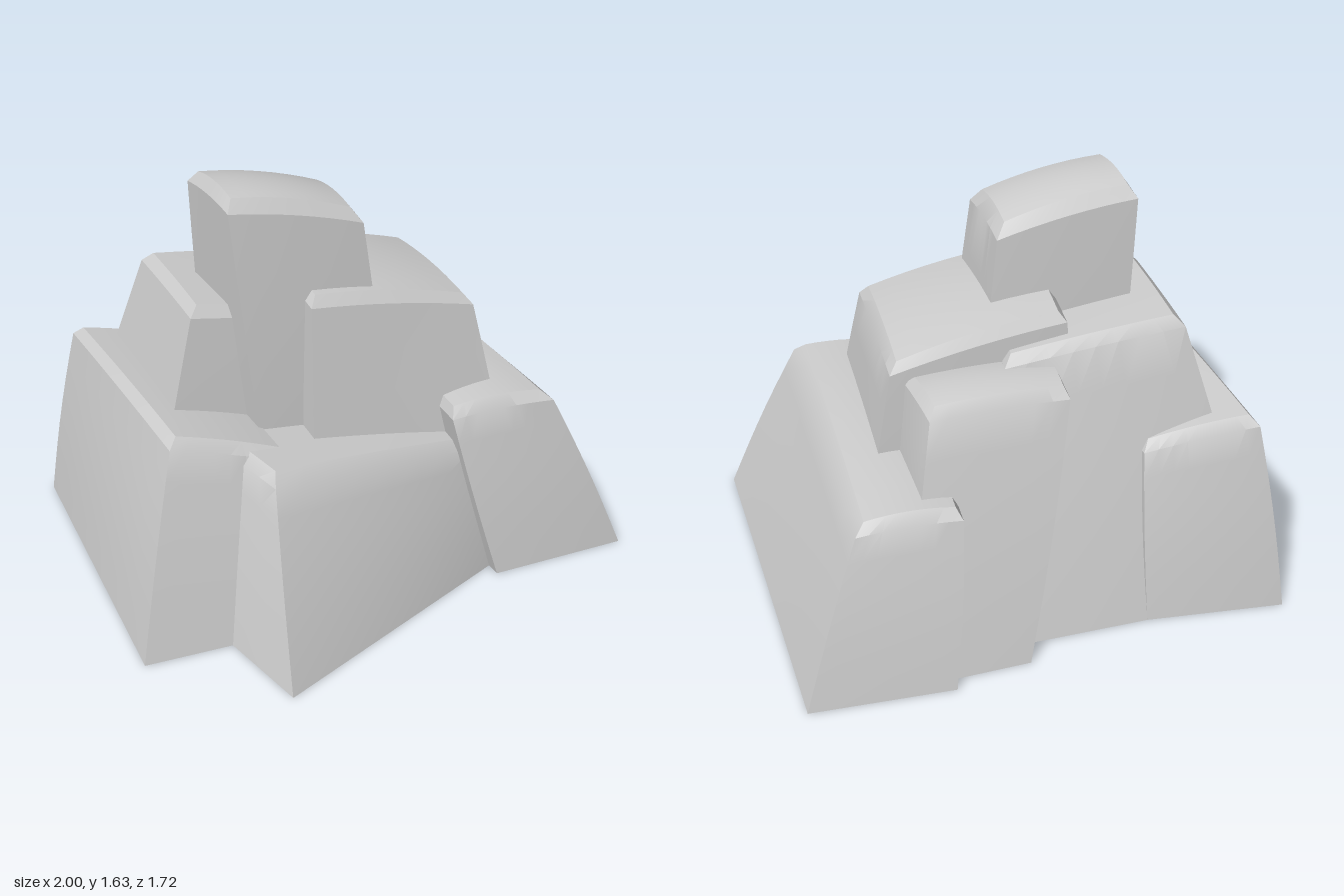
import * as THREE from 'three';
import { toCreasedNormals } from 'three/addons/utils/BufferGeometryUtils.js';

const stone = new THREE.MeshStandardMaterial({ color: 0xcccccc, side: THREE.DoubleSide });
const SEG = 8;

// Blend four corners, ordered back-left, back-right, front-right, front-left
const bilerp = (c, u, v, k) =>
  (1 - v) * ((1 - u) * c[0][k] + u * c[1][k]) + v * ((1 - u) * c[3][k] + u * c[2][k]);

// A tapered boulder shell, open below: ground corners [x, z], top corners [x, y, z],
// with a chamfered rim, gently swollen sides and a crowned top
function block({ name, base, top, rim = 0.04, crown = 0.03, bulge = 0.008 }) {
  const geo = new THREE.BoxGeometry(1, 1, 1, SEG, SEG, SEG);
  // drop the underside, the fourth of the six faces
  const index = Array.from(geo.index.array);
  index.splice(3 * SEG * SEG * 6, SEG * SEG * 6);
  geo.setIndex(index);

  const pos = geo.attributes.position;
  const width = (top[1][0] + top[2][0] - top[0][0] - top[3][0]) / 2;
  const depth = (top[2][2] + top[3][2] - top[0][2] - top[1][2]) / 2;
  const height = top.reduce((sum, c) => sum + c[1], 0) / 4;

  for (let i = 0; i < pos.count; i++) {
    let u = pos.getX(i) + 0.5;
    let v = pos.getZ(i) + 0.5;
    const row = Math.round((pos.getY(i) + 0.5) * SEG);
    const isTop = row === SEG;
    // all rows below the last form the wall, the last one is the chamfer
    const t = isTop ? 1 : (row / (SEG - 1)) * (1 - rim / height);
    const a = 2 * u - 1;
    const b = 2 * v - 1;
    if (isTop) {
      u = 0.5 + a * (0.5 - (rim * 0.6) / width);
      v = 0.5 + b * (0.5 - (rim * 0.6) / depth);
    }
    const swell = bulge * Math.sin(Math.PI * t);
    const dome = crown * (1 - a * a * 0.5 - b * b * 0.5) * t ** 6;
    pos.setXYZ(
      i,
      THREE.MathUtils.lerp(bilerp(base, u, v, 0), bilerp(top, u, v, 0), t) + a * swell,
      bilerp(top, u, v, 1) * t + dome,
      THREE.MathUtils.lerp(bilerp(base, u, v, 1), bilerp(top, u, v, 2), t) + b * swell
    );
  }
  const mesh = new THREE.Mesh(toCreasedNormals(geo, 0.45), stone);
  mesh.name = name;
  return mesh;
}

const blocks = [
  {
    name: 'rightRock',
    base: [[0.37, -0.86], [0.92, -0.83], [0.995, 0.62], [0.44, 0.58]],
    top: [[0.3, 0.71, -0.71], [0.67, 0.69, -0.68], [0.68, 0.74, 0.49], [0.28, 0.73, 0.43]],
  },
  {
    name: 'leftRock',
    base: [[-0.97, -0.76], [-0.43, -0.7], [-0.4, 0.54], [-1, 0.47]],
    top: [[-0.84, 0.84, -0.63], [-0.43, 0.74, -0.55], [-0.36, 0.7, 0.37], [-0.78, 0.83, 0.29]],
    crown: 0.015,
  },
  {
    name: 'frontRock',
    base: [[-0.84, -0.2], [0.6, -0.2], [0.6, 0.47], [-0.58, 0.86]],
    top: [[-0.68, 0.73, -0.2], [0.5, 0.58, -0.2], [0.5, 0.53, 0.41], [-0.48, 0.72, 0.51]],
    crown: 0.02,
    bulge: 0.005,
  },
  {
    name: 'backRock',
    base: [[-0.92, -0.7], [0.15, -0.7], [0.1, 0.2], [-0.9, 0.15]],
    top: [[-0.59, 1.2, -0.44], [0.06, 1.1, -0.39], [0, 1.08, 0.12], [-0.59, 1.2, 0.06]],
    crown: 0.01,
    bulge: 0.005,
  },
  {
    name: 'backSlab',
    base: [[0.07, -0.8], [0.55, -0.81], [0.52, -0.2], [0, -0.2]],
    top: [[-0.14, 1.04, -0.55], [0.37, 1.03, -0.54], [0.41, 1.05, -0.32], [-0.14, 1.05, -0.32]],
    crown: 0.02,
  },
  {
    name: 'middleRock',
    base: [[-0.26, -0.38], [0.64, -0.36], [0.62, 0.46], [-0.26, 0.41]],
    top: [[-0.18, 1.23, -0.35], [0.46, 1.09, -0.32], [0.45, 1.1, 0.26], [-0.2, 1.23, 0.23]],
    crown: 0.035,
  },
  {
    name: 'topRock',
    base: [[-0.4, -0.24], [0.17, -0.23], [0.18, 0.26], [-0.35, 0.27]],
    top: [[-0.49, 1.62, -0.2], [0.02, 1.5, -0.16], [0.03, 1.5, 0.17], [-0.47, 1.62, 0.12]],
    rim: 0.05,
    crown: 0.035,
  },
];

export function createModel() {
  const group = new THREE.Group();
  group.name = 'rockPile';
  for (const spec of blocks) group.add(block(spec));
  return group;
}
